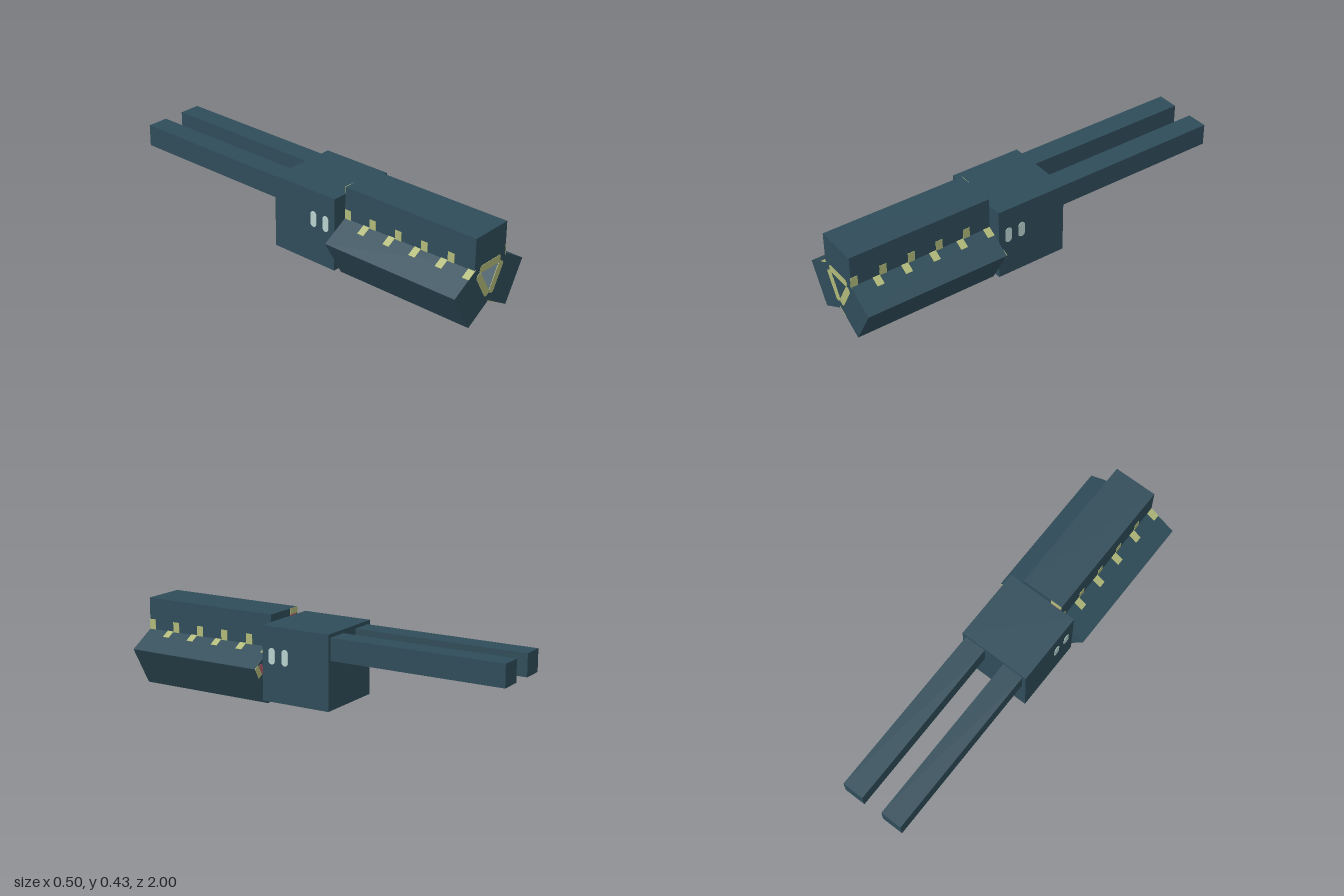
import * as THREE from 'three';

const material = (name, color) => {
  const m = new THREE.MeshStandardMaterial({ color });
  m.name = name;
  return m;
};

export function createModel() {
  const teal = material('dark teal', 0x2f4c59);
  const yellow = material('pale yellow', 0xb1b979);
  const pink = material('dusty pink', 0xb05a68);
  const pale = material('pale mint', 0xb8d2ce);

  const model = new THREE.Group();
  model.name = 'tripleBarrelDevice';

  // Box given by its minimum and maximum on each axis
  const box = (parent, name, mat, [x0, x1], [y0, y1], [z0, z1]) => {
    const mesh = new THREE.Mesh(new THREE.BoxGeometry(x1 - x0, y1 - y0, z1 - z0), mat);
    mesh.position.set((x0 + x1) / 2, (y0 + y1) / 2, (z0 + z1) / 2);
    mesh.name = name;
    parent.add(mesh);
    return mesh;
  };

  // Main body
  const back = 0.26, axisY = 0.207;
  box(model, 'body', teal, [-0.185, 0.185], [0.025, 0.394], [-0.11, back]);

  // Twin rear bars and small rounded side windows
  const windowShape = new THREE.Shape();
  windowShape.absarc(0, 0.022, 0.018, 0, Math.PI);
  windowShape.absarc(0, -0.022, 0.018, Math.PI, Math.PI * 2);
  const windowGeometry = new THREE.ExtrudeGeometry(windowShape, { depth: 0.003, bevelEnabled: false, curveSegments: 4 });
  for (const s of [-1, 1]) {
    box(model, s > 0 ? 'leftRearBar' : 'rightRearBar', teal,
      [s * 0.11 - 0.055, s * 0.11 + 0.055], [0.266, 0.376], [-1, -0.11]);
    for (const z of [0.206, 0.132]) {
      const pane = new THREE.Mesh(windowGeometry, pale);
      pane.name = 'sideWindow';
      pane.position.set(s * 0.1845, 0.25, z);
      pane.rotation.y = s * Math.PI / 2;
      model.add(pane);
    }
  }

  // Pink end of the triangular bore
  const bore = new THREE.Mesh(new THREE.CircleGeometry(0.078, 3), pink);
  bore.name = 'boreEnd';
  bore.rotation.z = -Math.PI / 2;
  bore.position.set(0, axisY, back + 0.003);
  model.add(bore);

  // Three beams set around the bore
  const half = 0.111, inner = 0.038, outer = 0.223;
  for (let i = 0; i < 3; i++) {
    const beam = new THREE.Group();
    beam.name = 'barrelBeam' + (i + 1);
    beam.position.y = axisY;
    beam.rotation.z = i * Math.PI * 2 / 3;
    model.add(beam);
    box(beam, 'beam', teal, [-half, half], [inner, outer], [back, 0.998]);

    // Muzzle strip with stepped ends
    box(beam, 'muzzleStrip', yellow, [-0.069, 0.069], [inner, 0.074], [0.997, 1]);
    box(beam, 'muzzleStripStep', yellow, [-0.075, 0.075], [0.045, 0.067], [0.997, 1]);

    // Staggered marks along both flanks
    for (let k = 0; k < 5; k++) {
      const zl = 0.981 - k * 0.148, zr = 0.278 + k * 0.148;
      box(beam, 'leftFlankMark', yellow, [half - 0.001, half + 0.002], [0.055, 0.114], [zl - 0.018, zl + 0.018]);
      box(beam, 'rightFlankMark', yellow, [-half - 0.002, -half + 0.001], [0.055, 0.11], [zr - 0.018, zr + 0.018]);
    }

    // Small corner patches on the rear face
    box(beam, 'rearCornerPatch', yellow, [-half, -half + 0.06], [outer - 0.03, outer], [back - 0.002, back + 0.001]);
    box(beam, 'rearInnerPatch', pink, [-half + 0.01, -half + 0.06], [outer - 0.055, outer - 0.03], [back - 0.002, back + 0.001]);
  }
  return model;
}
